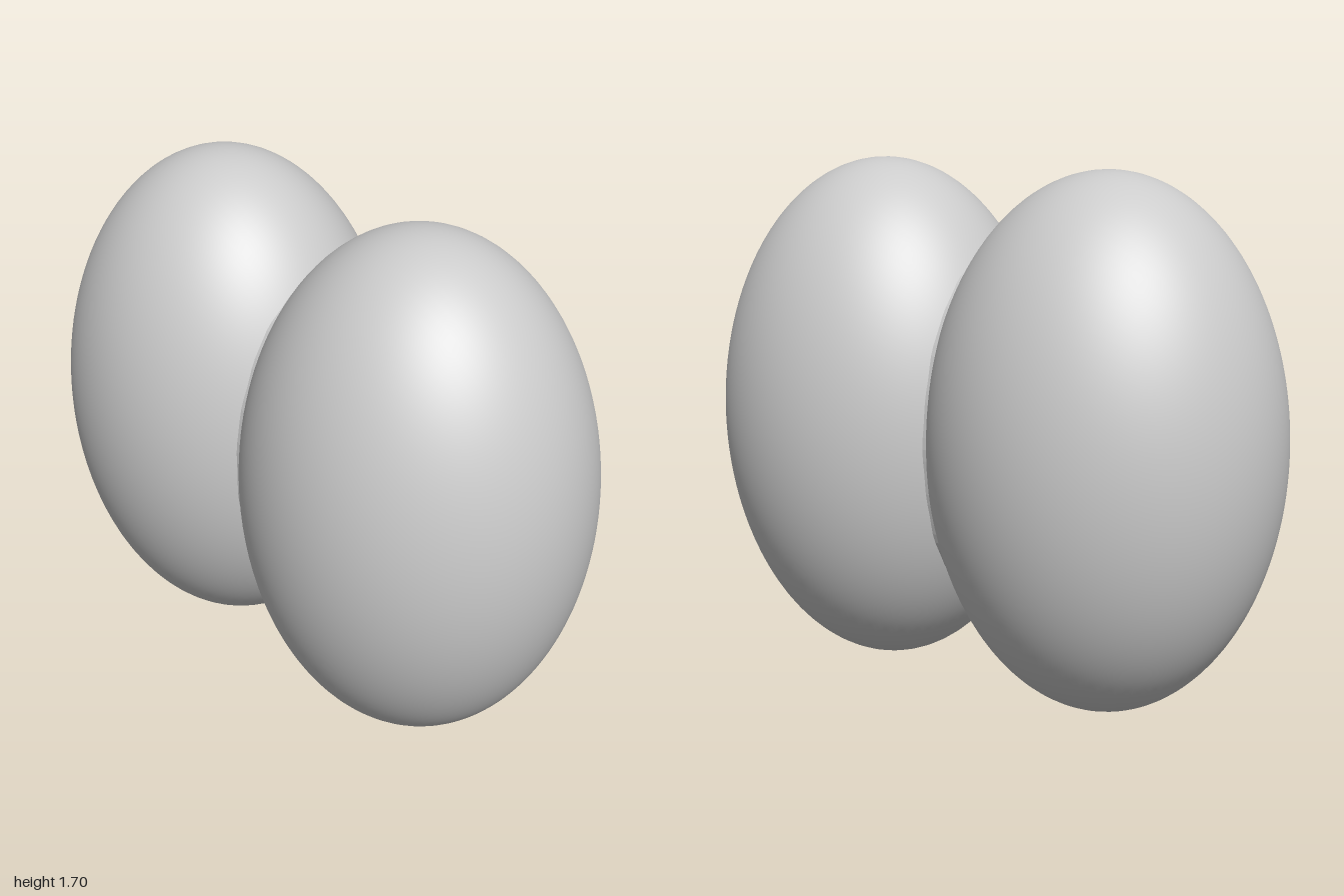
import * as THREE from 'three';

const CENTER_X = 0.43, CENTER_Y = 0.85;
const RX = 0.57, RY = 0.85, RZ = 0.53;

export function createModel() {
  const group = new THREE.Group();
  const material = new THREE.MeshStandardMaterial({ color: 0xcccccc });

  // Egg-shaped lobe: an ellipsoid with its pole facing outwards, cut off at the seam
  const cut = Math.acos((0.004 - CENTER_X) / RX);
  function addLobe(name, side) {
    const geometry = new THREE.SphereGeometry(1, 96, 64, 0, Math.PI * 2, 0, cut);
    geometry.scale(RY, RX, RZ);
    geometry.rotateZ(-side * Math.PI / 2);
    geometry.translate(side * CENTER_X, CENTER_Y, 0);
    const lobe = new THREE.Mesh(geometry, material);
    lobe.name = name;
    group.add(lobe);
  }
  addLobe('leftLobe', 1);
  addLobe('rightLobe', -1);

  // Narrow, slightly uneven band joining the lobes
  const band = new THREE.CylinderGeometry(1, 1, 0.026, 96, 2, true);
  const p = band.attributes.position;
  for (let i = 0; i < p.count; i++) {
    const x = p.getX(i), z = p.getZ(i);
    const a = Math.atan2(z, x);
    const r = 0.668 + 0.003 * Math.sin(a * 17) * Math.cos(a * 6);
    p.setXYZ(i, x * r * RY, p.getY(i), z * r * RZ);
  }
  band.rotateZ(-Math.PI / 2);
  band.translate(0, CENTER_Y, 0);
  const seam = new THREE.Mesh(band, new THREE.MeshStandardMaterial({
    color: 0xcccccc, flatShading: true, side: THREE.DoubleSide,
  }));
  seam.name = 'seamBand';
  group.add(seam);

  return group;
}
